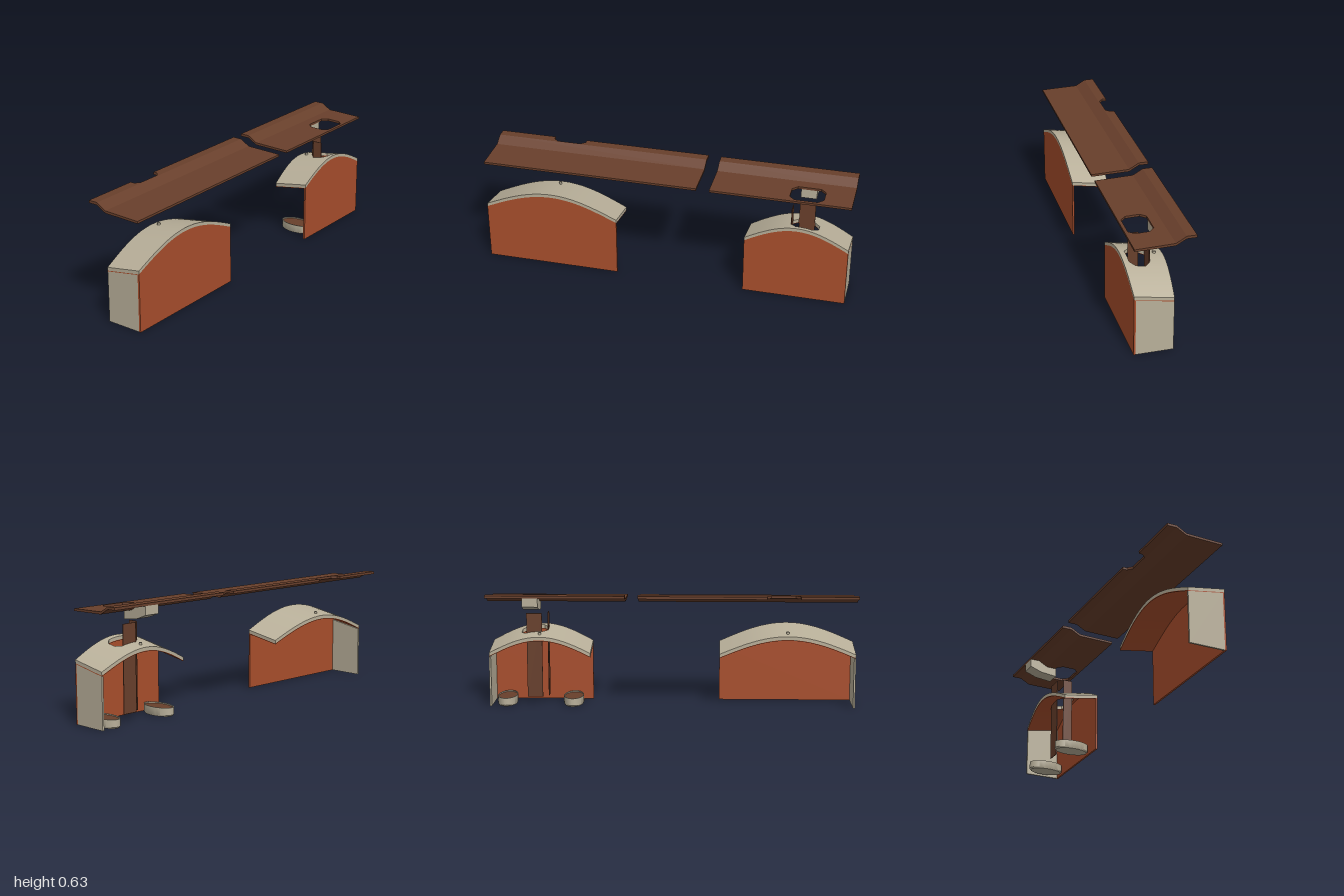
import * as THREE from 'three';
import { toCreasedNormals } from 'three/addons/utils/BufferGeometryUtils.js';

const mat = (name, color) => {
  const m = new THREE.MeshStandardMaterial({ color });
  m.name = name;
  return m;
};

export function createModel() {
  const root = new THREE.Group();
  root.name = 'shelter';
  const beige = mat('beige concrete', 0xb8af99);
  const brown = mat('dark brown', 0x683f2b);
  const rust = mat('rust orange', 0xa84e2c);

  const add = (parent, name, geo, material) => {
    const mesh = new THREE.Mesh(geo, material);
    mesh.name = name;
    parent.add(mesh);
    return mesh;
  };
  const box = (parent, name, x0, x1, y0, y1, z0, z1, m) => {
    const g = new THREE.BoxGeometry(x1 - x0, y1 - y0, z1 - z0);
    g.translate((x0 + x1) / 2, (y0 + y1) / 2, (z0 + z1) / 2);
    return add(parent, name, g, m);
  };
  const toShape = (pts) => new THREE.Shape(pts.map(([x, y]) => new THREE.Vector2(x, y)));
  const extrude = (pts, depth) =>
    new THREE.ExtrudeGeometry(toShape(pts), { depth, bevelEnabled: false });

  // Solid with a four-cornered section at each z, from z0 to z1
  function loft(z0, z1, steps, section) {
    const rings = [];
    for (let i = 0; i <= steps; i++) {
      const z = z0 + ((z1 - z0) * i) / steps;
      rings.push(section(z).map(([x, y]) => [x, y, z]));
    }
    const pos = [];
    const quad = (a, b, c, d) => pos.push(...a, ...b, ...c, ...a, ...c, ...d);
    for (let i = 0; i < steps; i++) {
      for (let j = 0; j < 4; j++) {
        const k = (j + 1) % 4;
        quad(rings[i][j], rings[i][k], rings[i + 1][k], rings[i + 1][j]);
      }
    }
    quad(...rings[steps]);
    quad(...[...rings[0]].reverse());
    const g = new THREE.BufferGeometry();
    g.setAttribute('position', new THREE.Float32BufferAttribute(pos, 3));
    return toCreasedNormals(g, 0.5);
  }

  const X1 = 0.155, TILT = 0.175, SPRING = 0.334;

  // Octagonal light opening in the small vault
  const hole = { x0: 0.02, x1: 0.125, z0: -0.83, z1: -0.685, c: 0.027 };
  const inset = (z) => Math.max(0, hole.c - Math.min(z - hole.z0, hole.z1 - z));

  // Vaulted building: tilted roof, lining, arched side wall and one end wall
  function vault(name, z0, z1, apex, endWallZ, hasHole) {
    const g = new THREE.Group();
    g.name = name;
    const zc = (z0 + z1) / 2, half = (z1 - z0) / 2;
    const k = (z) => Math.cos(((z - zc) / half) * Math.PI / 2);
    const top = (x, z) => SPRING + (apex - SPRING) * k(z) + TILT * (x - X1);
    const outer = (z) => -0.05 - 0.02 * k(z);
    const slab = (label, hi, lo, m) => {
      const piece = (a, b, n, xa, xb) => add(g, label, loft(a, b, n, (z) => {
        const p = xa(z), q = xb(z);
        return [[p, top(p, z) - lo], [q, top(q, z) - lo], [q, top(q, z) - hi], [p, top(p, z) - hi]];
      }), m);
      const edge = () => X1;
      if (!hasHole) {
        piece(z0, z1, 36, outer, edge);
        return;
      }
      piece(z0, hole.z0, 10, outer, edge);
      piece(hole.z1, z1, 12, outer, edge);
      piece(hole.z0, hole.z1, 16, outer, (z) => hole.x0 + inset(z));
      piece(hole.z0, hole.z1, 16, (z) => hole.x1 - inset(z), edge);
    };
    slab('roof', 0, 0.018, beige);
    slab('roofLining', 0.018, 0.022, rust);

    // arched side wall, drawn with its length along z
    const arch = [[-z0, 0], [-z1, 0]];
    for (let i = 0; i <= 32; i++) {
      const z = z1 - ((z1 - z0) * i) / 32;
      arch.push([-z, top(X1 - 0.01, z) - 0.02]);
    }
    const wall = extrude(arch, 0.01);
    wall.rotateY(Math.PI / 2);
    wall.translate(X1 - 0.01, 0, 0);
    add(g, 'archedSideWall', wall, rust);

    // end wall with a sloping head
    const headAt = (x) => SPRING + TILT * (x - X1) - 0.022;
    const end = extrude([[-0.05, 0], [0.145, 0], [0.145, headAt(0.145)], [-0.05, headAt(-0.05)]], 0.01);
    end.translate(0, 0, endWallZ);
    add(g, 'endWall', end, beige);

    // small vent on the crown
    const vent = new THREE.CylinderGeometry(0.008, 0.008, 0.02, 16);
    vent.translate(-0.026, top(-0.026, zc) + 0.001, zc);
    add(g, 'roofVent', vent, beige);
    root.add(g);
    return g;
  }
  vault('largeVault', 0.26, 1, 0.44, 0.99, false);
  const small = vault('smallVault', -1, -0.445, 0.43, -1, true);

  // Two hanging panels on the edges of the light opening
  box(small, 'sidePanel', 0.018, 0.022, 0.04, 0.507, -0.8, -0.715, brown);
  box(small, 'frontPanel', 0.045, 0.1, 0.04, 0.507, -0.687, -0.683, brown);

  // Oval planters on the floor
  for (const z of [-0.912, -0.545]) {
    const p = new THREE.Group();
    p.name = 'planter';
    const profile = [[0, 0], [0.93, 0], [1, 0.008], [1, 0.047], [0.93, 0.047], [0.93, 0.038]];
    const rim = new THREE.LatheGeometry(profile.map(([r, y]) => new THREE.Vector2(r, y)), 40);
    rim.scale(0.1, 1, 0.055);
    add(p, 'planterBowl', toCreasedNormals(rim, 0.5), beige);
    const soil = new THREE.CircleGeometry(0.94, 40);
    soil.rotateX(-Math.PI / 2);
    soil.scale(0.1, 1, 0.055);
    soil.translate(0, 0.041, 0);
    add(p, 'planterSoil', soil, brown);
    p.position.set(0.037, 0, z);
    small.add(p);
  }

  // Folded canopy: plan strips between the fold lines, lifted to the profile
  const folds = [-0.155, -0.103, -0.05, 0.155];
  const topY = [0.63, 0.63, 0.599, 0.594];
  const botY = [0.616, 0.616, 0.586, 0.582];
  const octagon = (x0, x1, z0, z1, c) => [
    [x0 + c, z0], [x1 - c, z0], [x1, z0 + c], [x1, z1 - c],
    [x1 - c, z1], [x0 + c, z1], [x0, z1 - c], [x0, z0 + c],
  ];
  const flip = (pts) => pts.map(([x, z]) => [x, -z]);
  function canopy(name, z0, z1, notch, opening) {
    const g = new THREE.Group();
    g.name = name;
    for (let i = 0; i < 3; i++) {
      const a = folds[i], b = folds[i + 1];
      const plan = [[a, z1], [b, z1], [b, z0], [a, z0]];
      if (i === 0 && notch) plan.push(...notch);
      const shape = toShape(flip(plan));
      if (i === 2 && opening) shape.holes.push(toShape(flip(opening)));
      const geo = new THREE.ExtrudeGeometry(shape, { depth: 1, bevelEnabled: false });
      geo.rotateX(-Math.PI / 2);
      const p = geo.attributes.position;
      for (let v = 0; v < p.count; v++) {
        const t = (p.getX(v) - a) / (b - a);
        const h = p.getY(v) > 0.5 ? topY : botY;
        p.setY(v, h[i] + (h[i + 1] - h[i]) * t);
      }
      geo.computeVertexNormals();
      add(g, 'canopyStrip', geo, brown);
    }
    root.add(g);
    return g;
  }
  canopy('frontCanopy', -0.18, 1,
    [[-0.155, 0.51], [-0.133, 0.51], [-0.11, 0.535], [-0.11, 0.665], [-0.133, 0.69], [-0.155, 0.69]], null);
  const back = canopy('backCanopy', -1, -0.25, null, octagon(0.007, 0.138, -0.85, -0.67, 0.028));

  // Spout under the back canopy
  const spout = extrude([[-0.155, 0.57], [-0.087, 0.545], [0.007, 0.535], [0.007, 0.585],
    [-0.05, 0.587], [-0.103, 0.617], [-0.155, 0.617]], 0.085);
  spout.translate(0, 0, -0.8);
  add(back, 'spout', spout, beige);

  return root;
}
